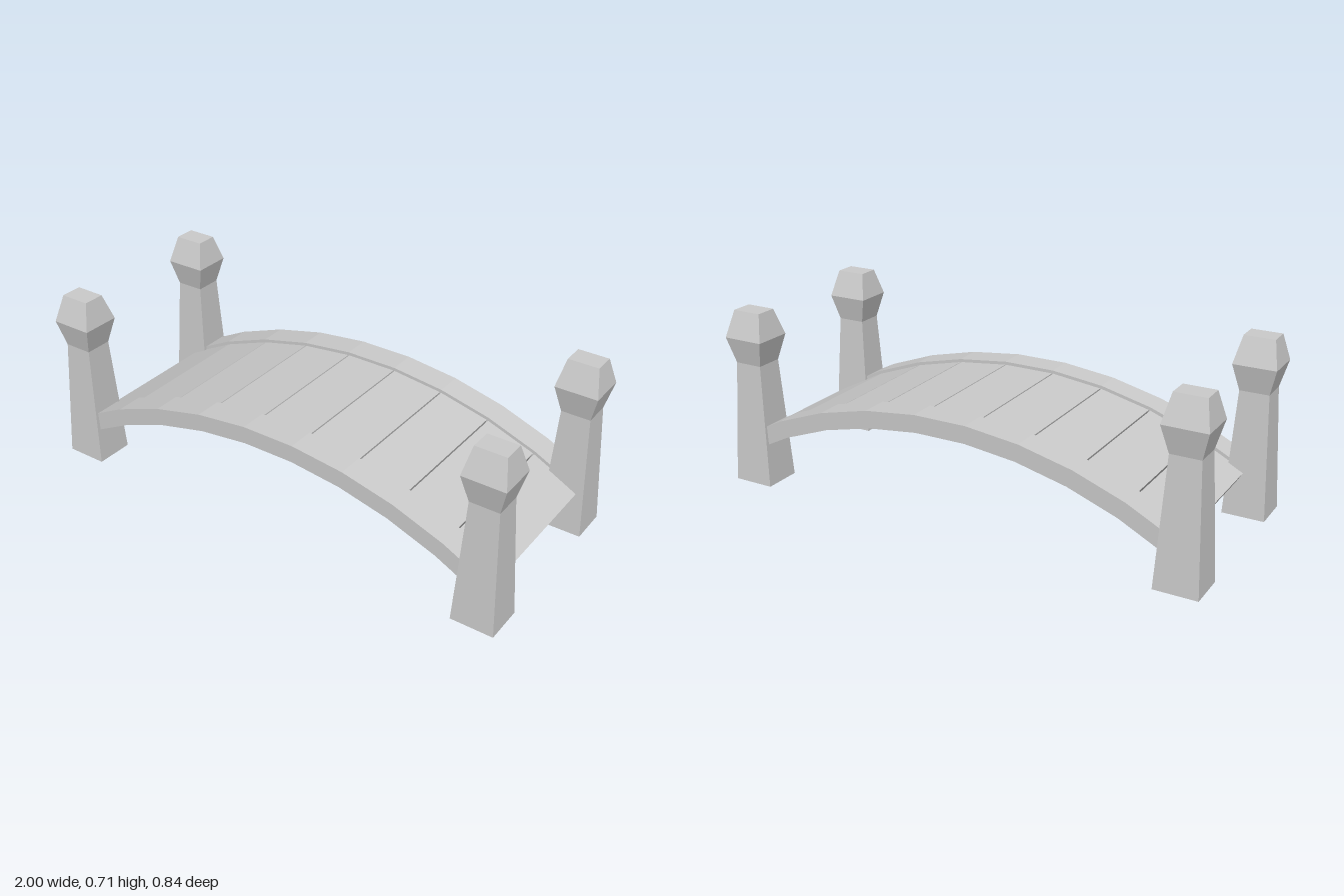
import * as THREE from 'three';

const material = new THREE.MeshStandardMaterial({ color: 0xcccccc, flatShading: true });

// Arch: nine straight segments around a centre far below the deck
const CENTRE = { x: 0.03, y: -1.41 };
const STEP = THREE.MathUtils.degToRad(6.75);
const SEGMENTS = 9;
const START = -STEP * SEGMENTS / 2;

const arcPoint = (radius, angle) => new THREE.Vector2(
  CENTRE.x + radius * Math.sin(angle), CENTRE.y + radius * Math.cos(angle));

// Band between two radii through the given angles, extruded from z0 to z1
function archBand(name, inner, outer, angles, z0, z1) {
  const shape = new THREE.Shape([
    ...angles.map(a => arcPoint(outer, a)),
    ...[...angles].reverse().map(a => arcPoint(inner, a)),
  ]);
  const geometry = new THREE.ExtrudeGeometry(shape, { depth: z1 - z0, bevelEnabled: false });
  geometry.translate(0, 0, z0);
  const mesh = new THREE.Mesh(geometry, material);
  mesh.name = name;
  return mesh;
}

// Square post that tapers up to a flared cap: [height, half width, half depth]
function postGeometry() {
  const levels = [[0, 0.085, 0.078], [0.5, 0.058, 0.055], [0.605, 0.085, 0.078], [0.712, 0.061, 0.043]];
  const box = new THREE.BoxGeometry(2, 3, 2, 1, 3, 1);
  const p = box.attributes.position;
  for (let i = 0; i < p.count; i++) {
    const [y, w, d] = levels[Math.round(p.getY(i) + 1.5)];
    p.setXYZ(i, p.getX(i) * w, y, p.getZ(i) * d);
  }
  const geometry = box.toNonIndexed();
  geometry.computeVertexNormals();
  return geometry;
}

export function createModel() {
  const bridge = new THREE.Group();
  bridge.name = 'footbridge';

  // Corner posts
  const post = postGeometry();
  for (const sx of [-1, 1]) for (const sz of [-1, 1]) {
    const mesh = new THREE.Mesh(post, material);
    mesh.name = `${sz > 0 ? 'front' : 'back'}${sx > 0 ? 'Left' : 'Right'}Post`;
    mesh.position.set(sx * 0.915, 0, sz * 0.34);
    bridge.add(mesh);
  }

  // Curved side beams
  const angles = Array.from({ length: SEGMENTS + 1 }, (_, i) => START + i * STEP);
  bridge.add(archBand('frontBeam', 1.783, 1.853, angles, 0.286, 0.396));
  bridge.add(archBand('backBeam', 1.783, 1.853, angles, -0.396, -0.286));

  // Deck planks with narrow gaps, set just below the beam tops
  const gap = 0.0015;
  for (let i = 0; i < SEGMENTS; i++) {
    const a = angles[i] + (i > 0 ? gap : 0);
    const b = angles[i + 1] - (i < SEGMENTS - 1 ? gap : 0);
    bridge.add(archBand(`plank${i + 1}`, 1.797, 1.84, [a, b], -0.288, 0.288));
  }

  return bridge;
}
